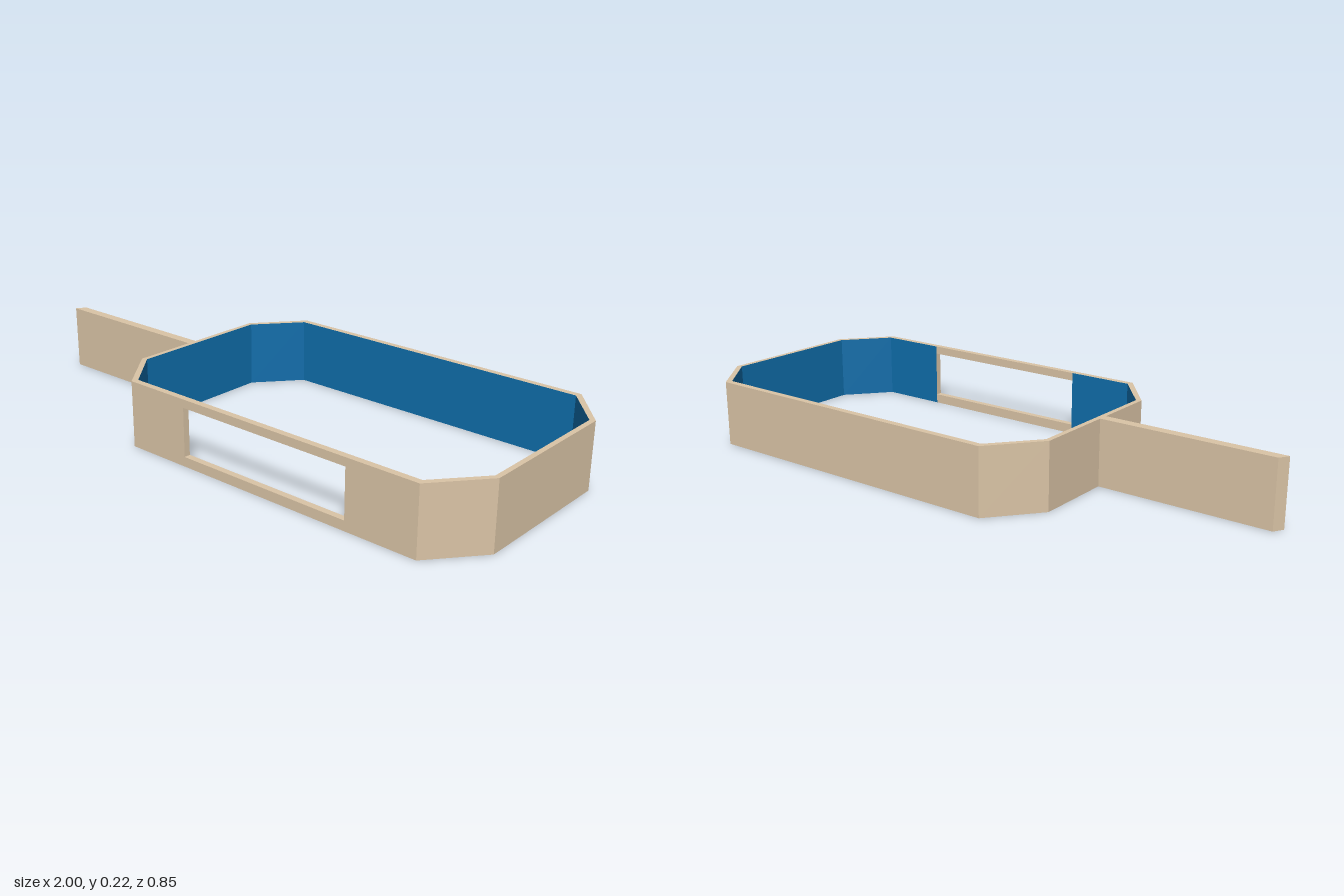
import * as THREE from 'three';

const HEIGHT = 0.225;

// Flat-shaded mesh from a list of four-cornered faces
function quadMesh(name, quads, material) {
  const pos = [];
  for (const [a, b, c, d] of quads) {
    for (const p of [a, b, c, a, c, d]) pos.push(...p);
  }
  const geo = new THREE.BufferGeometry();
  geo.setAttribute('position', new THREE.Float32BufferAttribute(pos, 3));
  geo.computeVertexNormals();
  const mesh = new THREE.Mesh(geo, material);
  mesh.name = name;
  return mesh;
}

export function createModel() {
  const model = new THREE.Group();
  model.name = 'handledFrame';
  const tan = new THREE.MeshStandardMaterial({ color: 0xdac4a6 });
  tan.name = 'tan';
  const blue = new THREE.MeshStandardMaterial({ color: 0x0f6daa });
  blue.name = 'blue';

  const shell = [];
  const lining = [];
  const at = (p, y) => [p[0], y, p[1]];

  // Wall piece between two stations, each with an outer (o) and inner (i) plan point
  function wall(a, b, y0, y1, innerFaces) {
    shell.push(
      [at(a.o, y0), at(b.o, y0), at(b.o, y1), at(a.o, y1)],
      [at(a.o, y1), at(b.o, y1), at(b.i, y1), at(a.i, y1)],
      [at(a.i, y0), at(b.i, y0), at(b.o, y0), at(a.o, y0)]
    );
    innerFaces.push([at(b.i, y0), at(a.i, y0), at(a.i, y1), at(b.i, y1)]);
  }

  // Eight corners of the ring, starting at the front wall
  const outer = [[-0.25, 0.425], [0.865, 0.425], [1, 0.26], [1, -0.26],
    [0.865, -0.425], [-0.25, -0.425], [-0.385, -0.26], [-0.385, 0.26]];
  const inner = [[-0.243, 0.403], [0.858, 0.403], [0.983, 0.253], [0.983, -0.253],
    [0.858, -0.403], [-0.243, -0.403], [-0.368, -0.253], [-0.368, 0.253]];
  const corners = outer.map((o, k) => ({ o, i: inner[k] }));

  // Seven solid walls
  for (let k = 1; k < 8; k++) wall(corners[k], corners[(k + 1) % 8], 0, HEIGHT, lining);

  // Front wall: two piers and two rails around the window
  const [winLow, winHigh] = [0.033, 0.197];
  const w0 = { o: [-0.015, 0.425], i: [-0.015, 0.403] };
  const w1 = { o: [0.62, 0.425], i: [0.62, 0.403] };
  wall(corners[0], w0, 0, HEIGHT, lining);
  wall(w1, corners[1], 0, HEIGHT, lining);
  wall(w0, w1, 0, winLow, shell);
  wall(w0, w1, winHigh, HEIGHT, shell);

  // Upright sides of the window opening
  shell.push(
    [at(w0.o, winLow), at(w0.i, winLow), at(w0.i, winHigh), at(w0.o, winHigh)],
    [at(w1.i, winLow), at(w1.o, winLow), at(w1.o, winHigh), at(w1.i, winHigh)]
  );

  model.add(quadMesh('ringShell', shell, tan), quadMesh('ringLining', lining, blue));

  // Flat handle with a slanted tip
  const plan = new THREE.Shape([[-1, -0.045], [-0.38, -0.045], [-0.38, -0.012], [-0.98, -0.012]]
    .map(([x, y]) => new THREE.Vector2(x, y)));
  const handleGeo = new THREE.ExtrudeGeometry(plan, { depth: HEIGHT, bevelEnabled: false });
  handleGeo.rotateX(-Math.PI / 2);
  const handle = new THREE.Mesh(handleGeo, tan);
  handle.name = 'handle';
  model.add(handle);

  return model;
}
